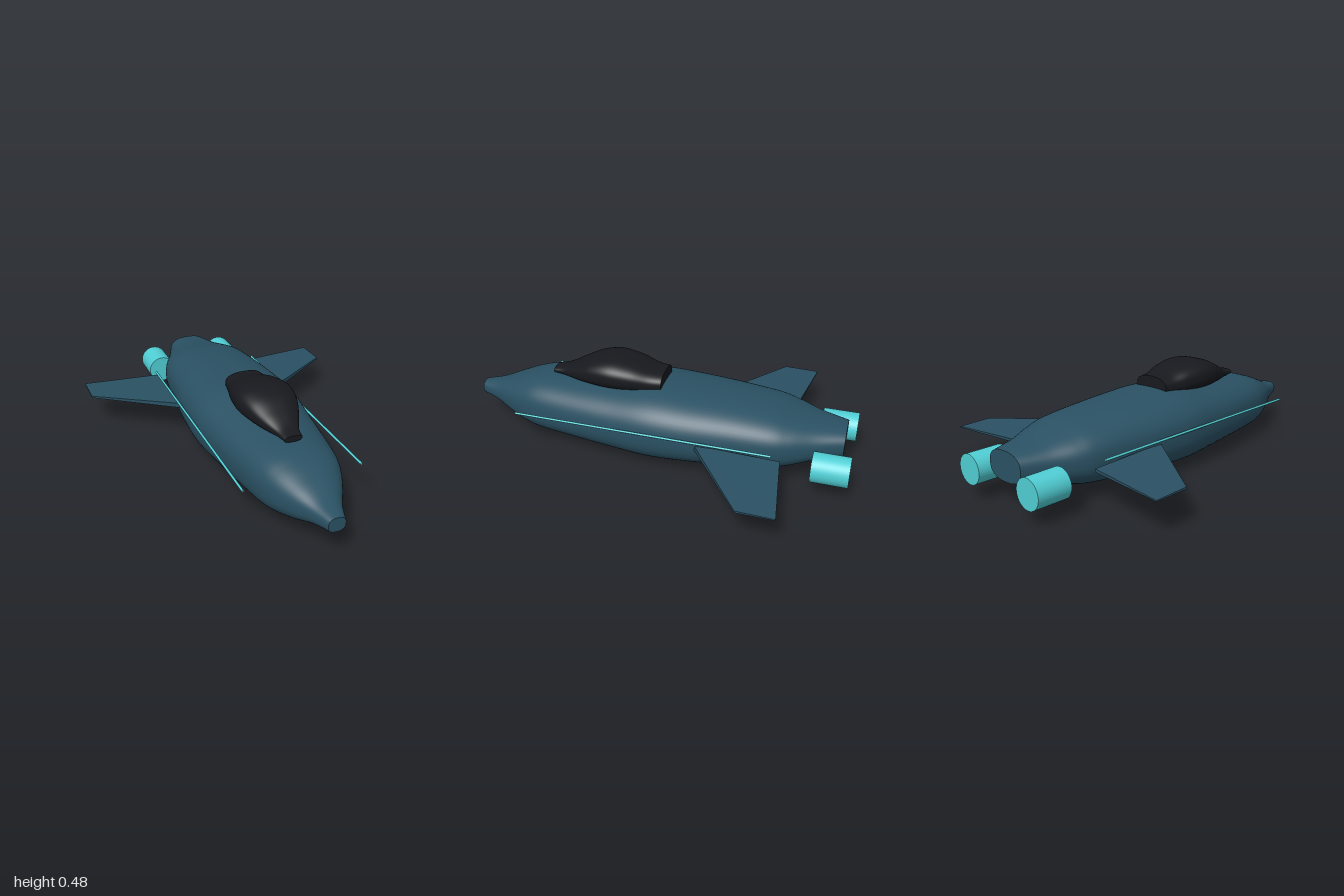
import * as THREE from 'three';

const bodyMat = new THREE.MeshStandardMaterial({ color: 0x2a5163 });
const glassMat = new THREE.MeshStandardMaterial({ color: 0x17191e });
const accentMat = new THREE.MeshStandardMaterial({ color: 0x50ced4 });

// Smooth hull lofted through superellipse stations [z, halfWidth, bottom, top], listed front to back
function loft(stations, power, steps = 64, sides = 64) {
  const size = new THREE.CatmullRomCurve3(
    stations.map(([z, w, b, t]) => new THREE.Vector3(w, (t - b) / 2, z)), false, 'catmullrom');
  const mid = new THREE.CatmullRomCurve3(
    stations.map(([z, , b, t]) => new THREE.Vector3(0, (t + b) / 2, z)), false, 'catmullrom');
  const bend = v => Math.sign(v) * Math.abs(v) ** (2 / power);
  const pos = [], index = [];
  const addRing = t => {
    const s = size.getPoint(t), cy = mid.getPoint(t).y;
    for (let j = 0; j < sides; j++) {
      const a = (j / sides) * Math.PI * 2;
      pos.push(s.x * bend(Math.cos(a)), cy + s.y * bend(Math.sin(a)), s.z);
    }
    return cy;
  };
  for (let i = 0; i <= steps; i++) addRing(i / steps);
  for (let i = 0; i < steps; i++) {
    for (let j = 0; j < sides; j++) {
      const k = (j + 1) % sides;
      const a = i * sides + j, b = a + sides, c = i * sides + k, d = c + sides;
      index.push(a, b, c, c, b, d);
    }
  }
  // flat end caps with their own vertices, so the rims stay sharp
  for (const t of [0, 1]) {
    const start = pos.length / 3;
    const cy = addRing(t);
    const centre = pos.length / 3;
    pos.push(0, cy, size.getPoint(t).z);
    for (let j = 0; j < sides; j++) {
      const p = start + j, q = start + (j + 1) % sides;
      if (t === 0) index.push(centre, p, q);
      else index.push(centre, q, p);
    }
  }
  const geo = new THREE.BufferGeometry();
  geo.setAttribute('position', new THREE.Float32BufferAttribute(pos, 3));
  geo.setIndex(index);
  geo.computeVertexNormals();
  return geo;
}

// Tapered, swept wing: a unit box whose corners move to the root and tip sections
function wingGeometry(side) {
  const root = { x: 0.27, front: -0.255, back: -0.675, low: 0.174, high: 0.2 };
  const tip = { x: 0.69, front: -0.55, back: -0.73, low: 0.177, high: 0.187 };
  const geo = new THREE.BoxGeometry(1, 1, 1);
  const p = geo.attributes.position;
  for (let i = 0; i < p.count; i++) {
    const s = p.getX(i) * side > 0 ? tip : root;
    const front = p.getZ(i) > 0;
    const high = front ? s.high : s.high - (s.high - s.low) * 0.4;
    p.setXYZ(i, side * s.x, p.getY(i) > 0 ? high : s.low, front ? s.front : s.back);
  }
  geo.computeVertexNormals();
  return geo;
}

export function createModel() {
  const model = new THREE.Group();
  const add = (name, geo, mat, x = 0, y = 0, z = 0) => {
    const mesh = new THREE.Mesh(geo, mat);
    mesh.name = name;
    mesh.position.set(x, y, z);
    model.add(mesh);
    return mesh;
  };

  // Fuselage
  add('fuselage', loft([
    [1.0, 0.042, 0.145, 0.215],
    [0.9, 0.08, 0.122, 0.238],
    [0.8, 0.135, 0.085, 0.278],
    [0.7, 0.182, 0.056, 0.315],
    [0.6, 0.21, 0.038, 0.337],
    [0.4, 0.24, 0.026, 0.35],
    [0.2, 0.266, 0.015, 0.364],
    [0.0, 0.288, 0.006, 0.382],
    [-0.2, 0.284, 0.015, 0.375],
    [-0.4, 0.266, 0.03, 0.364],
    [-0.6, 0.245, 0.05, 0.345],
    [-0.7, 0.218, 0.072, 0.323],
    [-0.82, 0.162, 0.106, 0.296],
    [-0.955, 0.11, 0.135, 0.28],
  ], 2.5, 78), bodyMat);

  // Canopy
  add('canopy', loft([
    [0.565, 0.045, 0.345, 0.375],
    [0.5, 0.058, 0.34, 0.391],
    [0.42, 0.096, 0.335, 0.43],
    [0.33, 0.131, 0.332, 0.472],
    [0.23, 0.148, 0.33, 0.49],
    [0.12, 0.136, 0.332, 0.474],
    [0.03, 0.112, 0.336, 0.447],
    [-0.035, 0.1, 0.34, 0.44],
  ], 2.5, 48), glassMat);

  for (const side of [1, -1]) {
    const label = side > 0 ? 'left' : 'right';
    add(label + 'Wing', wingGeometry(side), bodyMat);

    // Engine nozzle behind each flank
    const engine = new THREE.CylinderGeometry(0.074, 0.074, 0.18, 40);
    engine.rotateX(Math.PI / 2);
    add(label + 'Engine', engine, accentMat, side * 0.209, 0.151, -0.91);

    // Thin trim rod along the flank
    const rod = new THREE.CylinderGeometry(0.006, 0.006, 1.315, 12);
    rod.rotateX(Math.PI / 2);
    add(label + 'TrimRod', rod, accentMat, side * 0.295, 0.225, 0.0225);
  }
  return model;
}
